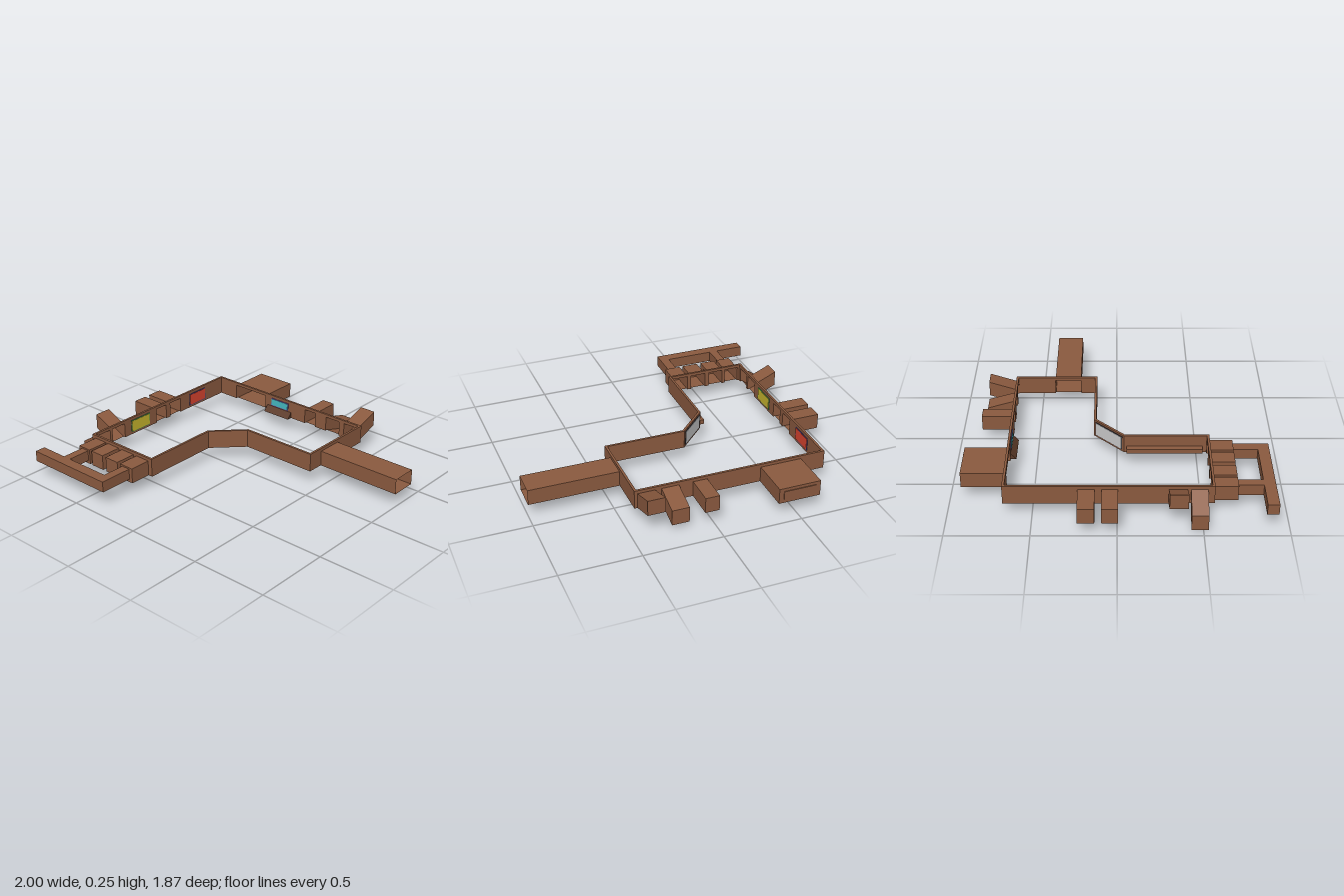
import * as THREE from 'three';

const BASE = 0.09, WALL_H = 0.12, T = 0.015, TUNNEL_H = 0.1;
const mat = (color) => new THREE.MeshStandardMaterial({ color, side: THREE.DoubleSide, flatShading: true });
const brown = mat(0x8b5a3f), dark = mat(0x33333a);

function add(parent, name, geometry, material = brown) {
  const m = new THREE.Mesh(geometry, material);
  m.name = name;
  parent.add(m);
  return m;
}

function box(parent, name, x0, x1, y0, y1, z0, z1, material = brown) {
  const m = add(parent, name, new THREE.BoxGeometry(x1 - x0, y1 - y0, z1 - z0), material);
  m.position.set((x0 + x1) / 2, (y0 + y1) / 2, (z0 + z1) / 2);
  return m;
}

// Hollow passage running outward (local -z) from a wall; its far end may rise or drop
function passage(parent, { u, len, rise = 0, open = false, name = 'passage' }) {
  const g = new THREE.BoxGeometry(u[1] - u[0], TUNNEL_H, len);
  g.translate((u[0] + u[1]) / 2, TUNNEL_H / 2, -len / 2);
  const p = g.attributes.position;
  for (let i = 0; i < p.count; i++) p.setY(i, p.getY(i) - rise * p.getZ(i) / len);
  // drop the face at the wall, and the end face of an open passage
  const index = Array.from(g.index.array);
  g.setIndex(index.filter((_, i) => i < 24 || (i >= 30 && !open)));
  g.clearGroups();
  g.computeVertexNormals();
  add(parent, name, g);
}

// Framed screen on the inner face of a wall
function panel(parent, name, u0, u1, y0, y1, fill, rim) {
  const r = 0.005;
  box(parent, name + 'Frame', u0, u1, y0, y1, T, T + 0.003, mat(rim));
  box(parent, name, u0 + r, u1 - r, y0 + r, y1 - r, T, T + 0.005, mat(fill));
}

// Room outline (x, z), with the interior on the inner (+z) side of each wall
const corners = [[-0.81, -0.67], [0.43, -0.67], [0.43, -0.13], [-0.09, -0.13], [-0.27, 0.05], [-0.27, 0.57], [-0.81, 0.57]]
  .map(([x, z]) => new THREE.Vector2(x, z));

const walls = [
  { name: 'backWall', passages: [
    { u: [0.16, 0.43], len: 0.26, name: 'backRoom' },
    { u: [0.78, 0.87], len: 0.19 },
    { u: [0.96, 1.07], len: 0.17, rise: -0.05, name: 'rampDown' },
    { u: [1.11, 1.22], len: 0.17, rise: 0.055, name: 'rampUp' }] },
  { name: 'leftSideWall', passages: [{ u: [0.26, 0.43], len: 0.57, open: true, name: 'longCorridor' }] },
  { name: 'innerWall', passages: [] },
  { name: 'diagonalWall', passages: [] },
  { name: 'benchWall', passages: [] },
  { name: 'frontWall', passages: [[0.03, 0.135], [0.16, 0.265], [0.295, 0.395], [0.415, 0.51]]
    .map((u) => ({ u, len: 0.14, name: 'cell' })) },
  { name: 'rightSideWall', passages: [
    { u: [0.04, 0.14], len: 0.135, rise: -0.09, name: 'rampDown' },
    { u: [0.16, 0.27], len: 0.135, rise: 0.06, name: 'rampUp' },
    { u: [0.565, 0.66], len: 0.19 },
    { u: [0.7, 0.8], len: 0.19 }] },
];

// Mitre factor at a corner of the outline
function mitre(i) {
  const n = corners.length;
  const a = corners[i % n].clone().sub(corners[(i + n - 1) % n]);
  const b = corners[(i + 1) % n].clone().sub(corners[i % n]);
  return Math.tan(Math.atan2(a.cross(b), a.dot(b)) / 2);
}

function buildWall({ name, passages }, i) {
  const a = corners[i], b = corners[(i + 1) % corners.length];
  const d = b.clone().sub(a), len = d.length();
  const group = new THREE.Group();
  group.name = name;
  group.position.set(a.x, BASE, a.y);
  group.rotation.y = -Math.atan2(d.y, d.x);

  // wall face with a doorway notch for each passage
  const s = new THREE.Shape();
  s.moveTo(0, 0);
  for (const { u } of passages) {
    s.lineTo(u[0], 0);
    s.lineTo(u[0], TUNNEL_H);
    s.lineTo(u[1], TUNNEL_H);
    s.lineTo(u[1], 0);
  }
  s.lineTo(len, 0);
  s.lineTo(len, WALL_H);
  s.lineTo(0, WALL_H);
  const g = new THREE.ExtrudeGeometry(s, { depth: T, bevelEnabled: false });
  const p = g.attributes.position, m0 = mitre(i), m1 = mitre(i + 1);
  for (let k = 0; k < p.count; k++) {
    const x = p.getX(k), z = p.getZ(k);
    if (x < 1e-4) p.setX(k, x + z * m0);
    else if (x > len - 1e-4) p.setX(k, x - z * m1);
  }
  g.computeVertexNormals();
  add(group, name + 'Face', g);
  passages.forEach((o) => passage(group, o));
  return group;
}

export function createModel() {
  const model = new THREE.Group();
  model.name = 'floorPlan';
  const w = walls.map(buildWall);
  model.add(...w);

  // Screens on the inner faces
  panel(w[0], 'cyanScreen', 0.485, 0.635, 0.045, 0.1, 0x45b8c0, 0x6a4aa0);
  panel(w[3], 'greyScreen', 0.01, 0.245, 0.012, 0.108, 0xcccccc, 0x33333a);
  panel(w[6], 'yellowScreen', 0.33, 0.5, 0.015, 0.1, 0xc8b52e, 0x3c8a50);
  panel(w[6], 'redScreen', 0.89, 1.05, 0.015, 0.1, 0xd8432f, 0x3c3c80);

  // Sloping console under the back screen
  const wedge = new THREE.Shape();
  wedge.moveTo(0, 0);
  wedge.lineTo(0.035, 0);
  wedge.lineTo(0, 0.04);
  const console_ = add(w[0], 'console', new THREE.ExtrudeGeometry(wedge, { depth: 0.21, bevelEnabled: false }), mat(0x5c3a28));
  console_.rotation.y = -Math.PI / 2;
  console_.position.set(0.66, 0, T);

  // Bench along the short side wall
  box(w[4], 'bench', 0.01, 0.48, 0.015, 0.045, 0.01, 0.05);

  // Loop corridor in front of the cells
  box(model, 'crossCorridor', -0.945, -0.325, 0.11, 0.18, 0.86, 0.93);
  for (const [x0, x1] of [[-0.755, -0.7], [-0.385, -0.325]])
    box(model, 'linkCorridor', x0, x1, 0.11, 0.18, 0.71, 0.86);

  // Doors
  box(model, 'backDoor', -0.62, -0.41, 0.11, 0.17, -0.935, -0.93, brown);
  box(model, 'cellDoor', -0.567, -0.561, 0.11, 0.17, 0.61, 0.65, dark);
  return model;
}
